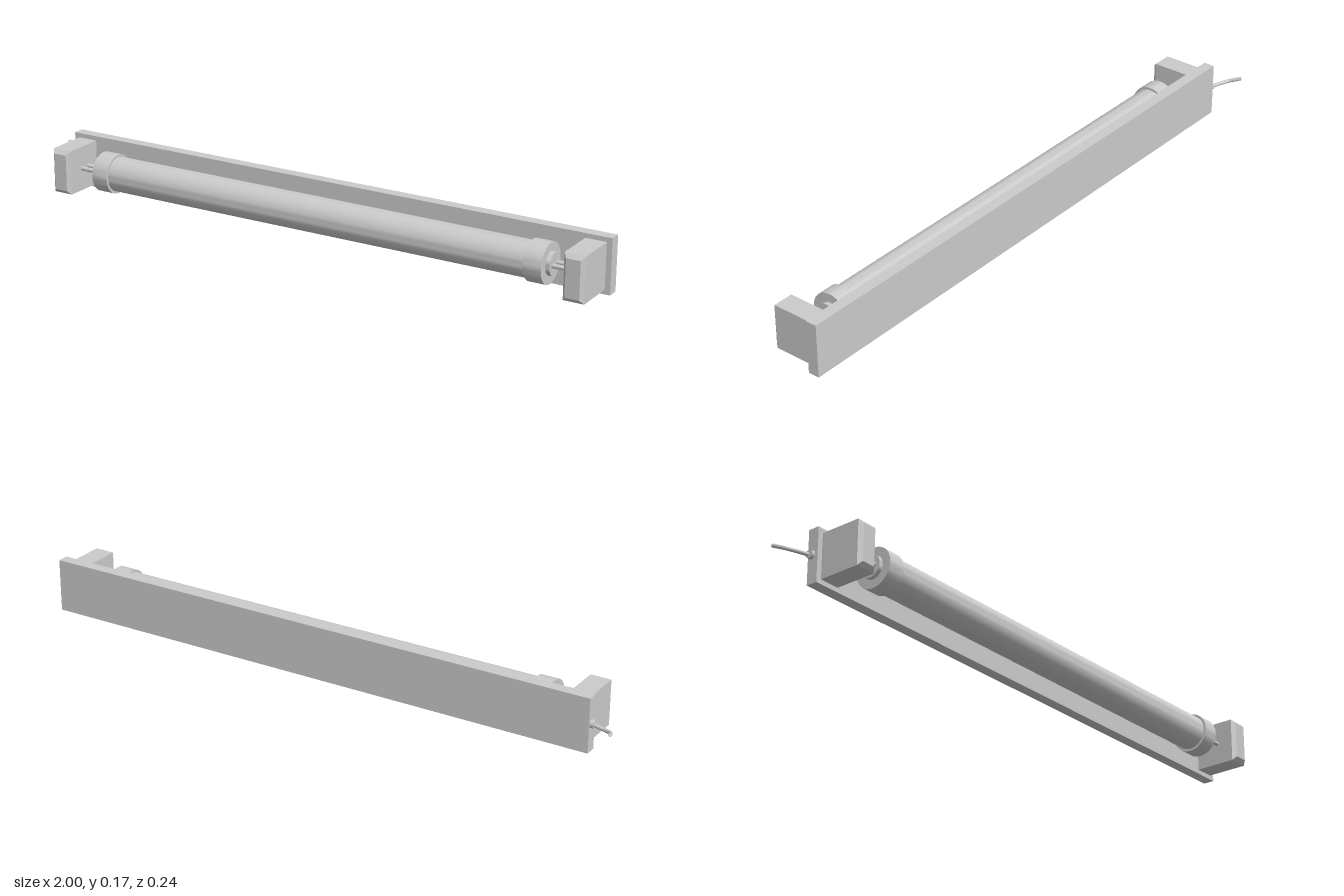
import * as THREE from 'three';
import { toCreasedNormals } from 'three/addons/utils/BufferGeometryUtils.js';

const CX = 0.048, CY = 0.087, TUBE_Z = 0.034;

export function createModel() {
  const model = new THREE.Group();
  model.name = 'tubeLamp';
  const grey = new THREE.MeshStandardMaterial({ color: 0xcccccc });

  const add = (name, geometry, x = 0, y = 0, z = 0, parent = model) => {
    const mesh = new THREE.Mesh(geometry, grey);
    mesh.name = name;
    mesh.position.set(x, y, z);
    parent.add(mesh);
    return mesh;
  };
  // Cylinder lying along x
  const rod = (radius, length, sides = 40) =>
    toCreasedNormals(new THREE.CylinderGeometry(radius, radius, length, sides).rotateZ(Math.PI / 2), 0.6);

  // Back plate
  add('backPlate', new THREE.BoxGeometry(1.904, 0.174, 0.037), CX, CY, -0.0465);

  // Glass tube
  add('glassTube', rod(0.056, 1.48, 48), CX, CY, TUBE_Z);

  // Socket block whose front edge is chamfered
  const socketGeometry = () => {
    let g = new THREE.BoxGeometry(0.067, 0.145, 0.149, 1, 1, 2);
    const p = g.attributes.position;
    for (let i = 0; i < p.count; i++) {
      const z = p.getZ(i);
      if (Math.abs(z) < 0.01) p.setZ(i, 0.0625);
      else if (z > 0) {
        p.setX(i, p.getX(i) * 0.68);
        p.setY(i, p.getY(i) * 0.82);
      }
    }
    g = g.toNonIndexed();
    g.computeVertexNormals();
    return g;
  };

  // Sockets, caps and contact pins, mirrored about the lamp centre
  for (const [side, s] of [['left', 1], ['right', -1]]) {
    const end = new THREE.Group();
    end.name = side + 'End';
    end.position.set(CX, CY, 0);
    model.add(end);
    add('socket', socketGeometry(), s * 0.901, 0, 0.0455, end);
    add('tubeCap', rod(0.064, 0.057), s * 0.763, 0, TUBE_Z, end);
    add('capDisc', rod(0.036, 0.02, 32), s * 0.795, 0, TUBE_Z, end);
    for (const dz of [-0.016, 0.016])
      add('contactPin', rod(0.007, 0.1, 16), s * 0.835, 0, TUBE_Z + dz, end);
  }

  // Supply cable leaving the plate's right end
  add('cableGrommet', rod(0.013, 0.016, 20), -0.908, 0.09, -0.05);
  const path = new THREE.CatmullRomCurve3([
    [-0.89, 0.09, -0.048], [-0.92, 0.089, -0.055], [-0.955, 0.088, -0.064],
    [-0.978, 0.092, -0.08], [-0.986, 0.099, -0.098], [-0.994, 0.106, -0.116],
  ].map(p => new THREE.Vector3(...p)));
  add('cable', new THREE.TubeGeometry(path, 32, 0.006, 10, false), 0, 0, 0);
  const tip = add('cableTip', new THREE.CircleGeometry(0.006, 10), -0.994, 0.106, -0.116);
  tip.quaternion.setFromUnitVectors(new THREE.Vector3(0, 0, 1), path.getTangent(1));

  return model;
}
